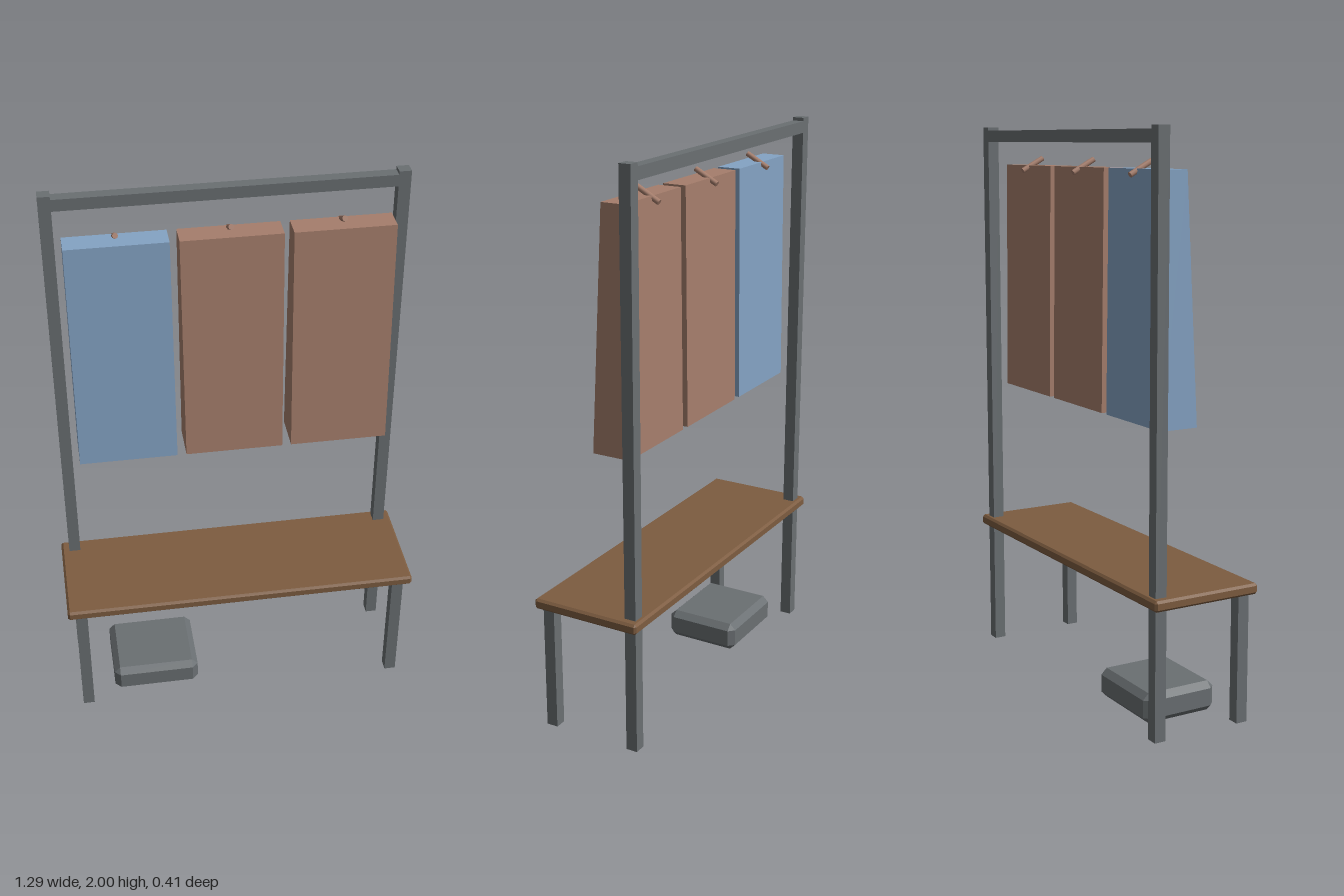
import * as THREE from 'three';
import { ConvexGeometry } from 'three/addons/geometries/ConvexGeometry.js';

const material = (name, color) => {
  const m = new THREE.MeshStandardMaterial({ color });
  m.name = name;
  return m;
};

// Box with 45-degree chamfers on every edge
function chamferBox(w, h, d, c) {
  const points = [];
  for (const sx of [-1, 1]) for (const sy of [-1, 1]) for (const sz of [-1, 1]) {
    const x = w / 2, y = h / 2, z = d / 2;
    points.push(
      new THREE.Vector3(sx * x, sy * (y - c), sz * (z - c)),
      new THREE.Vector3(sx * (x - c), sy * y, sz * (z - c)),
      new THREE.Vector3(sx * (x - c), sy * (y - c), sz * z));
  }
  return new ConvexGeometry(points);
}

export function createModel() {
  const group = new THREE.Group();
  const metal = material('greyMetal', 0x6a6f72);
  const wood = material('brownWood', 0x7d5c40);
  const blue = material('blueCloth', 0x84a3c4);
  const tan = material('tanCloth', 0xa67e6c);

  const add = (name, geometry, mat, x, y, z) => {
    const mesh = new THREE.Mesh(geometry, mat);
    mesh.name = name;
    mesh.position.set(x, y, z);
    group.add(mesh);
    return mesh;
  };

  // Frame: tall back posts, short front legs and a top rail
  const bar = 0.042, postX = 0.595, postZ = 0.165;
  for (const [side, s] of [['left', 1], ['right', -1]]) {
    add(side + 'Post', new THREE.BoxGeometry(bar, 2, bar), metal, s * postX, 1, -postZ);
    add(side + 'FrontLeg', new THREE.BoxGeometry(bar, 0.465, bar), metal, s * postX, 0.2325, postZ - 0.002);
  }
  add('topRail', new THREE.BoxGeometry(2 * postX - bar, bar, bar), metal, 0, 1.967, -postZ);

  // Bench seat
  add('seat', chamferBox(1.29, 0.038, 0.405, 0.008), wood, 0, 0.477, -0.001);

  // Hanging coats: tapered side profile (z, y) extruded across x
  const profile = new THREE.Shape([[0.01, 1.03], [-0.036, 1.863], [-0.121, 1.863], [-0.13, 1.03]]
    .map(([z, y]) => new THREE.Vector2(-z, y)));
  const width = 0.346;
  const coat = new THREE.ExtrudeGeometry(profile, { depth: width, bevelEnabled: false });
  coat.translate(0, 0, -width / 2).rotateY(Math.PI / 2);

  // Angled pegs rise towards the front
  const back = new THREE.Vector3(0, 1.843, -0.143), front = new THREE.Vector3(0, 1.888, -0.061);
  const along = front.clone().sub(back);
  const peg = new THREE.CylinderGeometry(0.01, 0.01, along.length(), 8);
  const middle = back.clone().add(front).multiplyScalar(0.5);

  [blue, tan, tan].forEach((mat, i) => {
    const x = (i - 1) * 0.378;
    add('coat' + (i + 1), coat, mat, x, 0, 0);
    add('peg' + (i + 1), peg, tan, x, middle.y, middle.z)
      .quaternion.setFromUnitVectors(new THREE.Vector3(0, 1, 0), along.clone().normalize());
  });

  // Bag under the bench
  add('bag', chamferBox(0.324, 0.107, 0.284, 0.022), metal, -0.325, 0.056, 0.003);

  return group;
}
